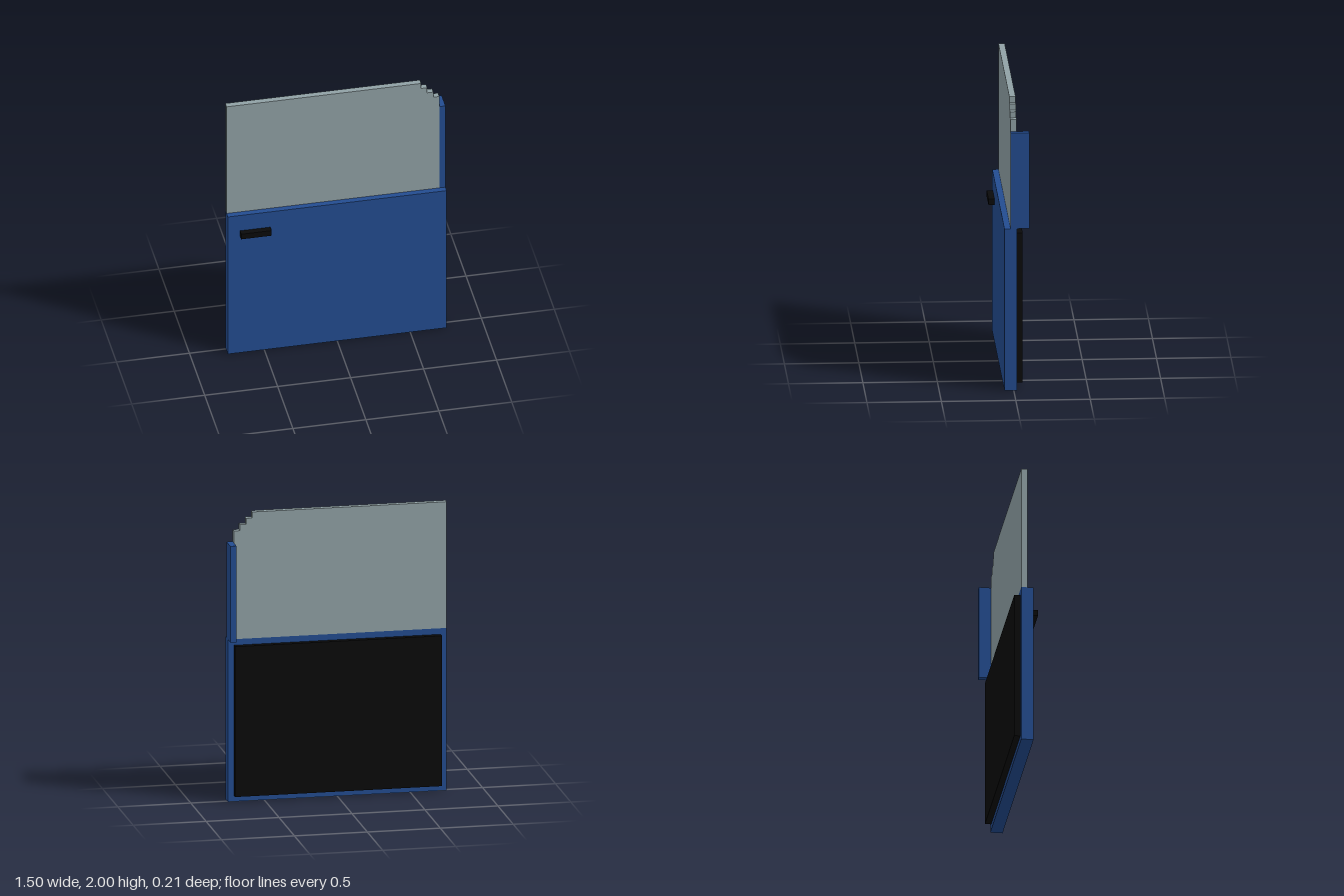
import * as THREE from 'three';

const U = 1 / 24; // every part sits on this block grid

const material = (name, color) => {
  const m = new THREE.MeshStandardMaterial({ color });
  m.name = name;
  return m;
};

export function createModel() {
  const door = new THREE.Group();
  door.name = 'vehicleDoor';

  const blue = material('bluePaint', 0x234c90);
  const grey = material('greyGlass', 0x90a1a5);
  const black = material('blackTrim', 0x0a0a0a);

  // Box from its minimum and maximum corners, in grid units
  function block(name, mat, [x0, y0, z0], [x1, y1, z1]) {
    const geometry = new THREE.BoxGeometry((x1 - x0) * U, (y1 - y0) * U, (z1 - z0) * U);
    const mesh = new THREE.Mesh(geometry, mat);
    mesh.position.set((x0 + x1) * U / 2, (y0 + y1) * U / 2, (z0 + z1) * U / 2);
    mesh.name = name;
    door.add(mesh);
  }

  block('outerPanel', blue, [-18, 0, -0.5], [18, 27, 1.5]);
  block('innerTrim', black, [-17, 1, -1.5], [17, 26, -0.5]);
  block('handle', black, [-16, 23, 1.5], [-11, 24, 2.5]);
  block('windowPost', blue, [17, 27, -2.5], [18, 43, 0.5]);

  // Window pane with a stepped upper corner
  const outline = new THREE.Shape();
  outline.moveTo(-18 * U, 27 * U);
  outline.lineTo(17 * U, 27 * U);
  for (let i = 0; i < 4; i++) {
    outline.lineTo((17 - i) * U, (45 + i) * U);
    if (i < 3) outline.lineTo((16 - i) * U, (45 + i) * U);
  }
  outline.lineTo(-18 * U, 48 * U);
  outline.closePath();
  const pane = new THREE.Mesh(
    new THREE.ExtrudeGeometry(outline, { depth: U, bevelEnabled: false }), grey);
  pane.position.z = -U / 2;
  pane.name = 'windowPane';
  door.add(pane);

  return door;
}
